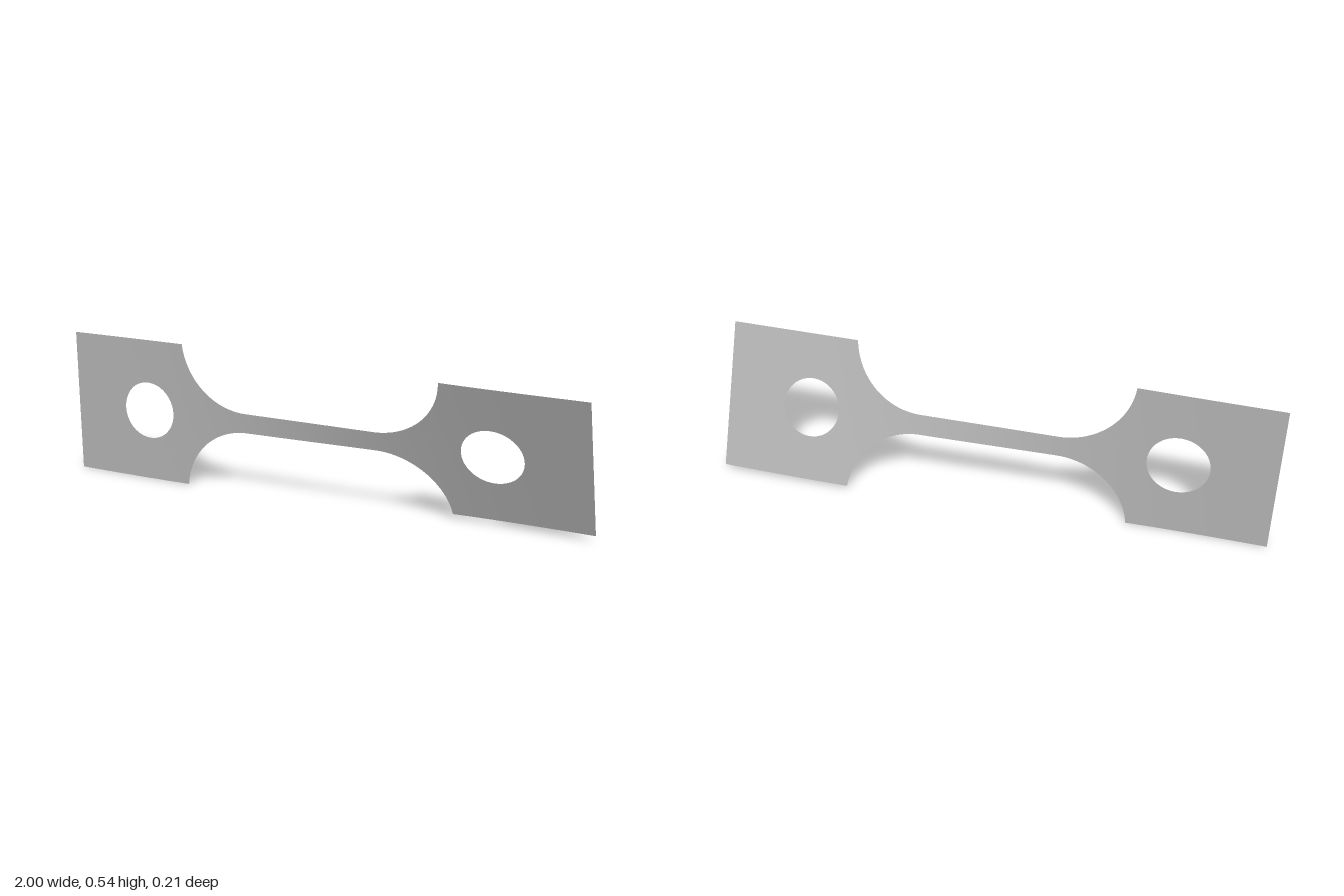
import * as THREE from 'three';
import { ParametricGeometry } from 'three/addons/geometries/ParametricGeometry.js';

const HALF = 0.271;        // half height of the end tabs
const NECK = 0.037;        // half height of the neck
const FILLET = 0.26;       // radius of the shoulder curves
const NECK_END = 0.25;     // where the shoulder curves begin
const HOLE_X = 0.67, HOLE_R = 0.108;
const SWEEP = Math.acos((NECK + FILLET - HALF) / FILLET);
const SHOULDER = NECK_END + FILLET * Math.sin(SWEEP);

// Places a point of the flat sheet on the twisted one
function twist(x, h, target) {
  const deg = 11.45 * (1 + Math.tanh(2.1 * x) / Math.tanh(2.1));
  const a = THREE.MathUtils.degToRad(deg);
  const bow = -0.005 * Math.sin(Math.PI * x);
  target.set(x, HALF + h * Math.cos(a), bow + h * Math.sin(a));
}

// Narrow strip widening along circular shoulders at both ends
function neckSurface(u, v, target) {
  const s = 2 * u - 1, m = Math.abs(s);
  let x = (m / 0.4) * NECK_END, half = NECK;
  if (m > 0.4) {
    const t = ((m - 0.4) / 0.6) * SWEEP;
    x = NECK_END + FILLET * Math.sin(t);
    half = NECK + FILLET * (1 - Math.cos(t));
  }
  twist(Math.sign(s) * x, half * (2 * v - 1), target);
}

// Rectangle with a round hole, spanned from its outline to the rim of the hole
function tabSurface(x0, x1, cx) {
  const corners = [[x1, -HALF], [x1, HALF], [x0, HALF], [x0, -HALF]];
  return (u, v, target) => {
    const side = Math.min(3, Math.floor(u * 4 + 1e-9));
    const f = u * 4 - side;
    const p = corners[side], q = corners[(side + 1) % 4];
    const ox = p[0] + (q[0] - p[0]) * f;
    const oy = p[1] + (q[1] - p[1]) * f;
    const a = Math.atan2(oy, ox - cx);
    const ix = cx + HOLE_R * Math.cos(a), iy = HOLE_R * Math.sin(a);
    twist(ox + (ix - ox) * v, oy + (iy - oy) * v, target);
  };
}

export function createModel() {
  const group = new THREE.Group();
  group.name = 'twistedSpecimen';
  const metal = new THREE.MeshStandardMaterial({ color: 0xb0b0b0, side: THREE.DoubleSide });
  metal.name = 'grey metal';

  const add = (name, surface, slices, stacks) => {
    const mesh = new THREE.Mesh(new ParametricGeometry(surface, slices, stacks), metal);
    mesh.name = name;
    group.add(mesh);
  };
  add('neck', neckSurface, 100, 16);
  add('leftTab', tabSurface(SHOULDER, 1, HOLE_X), 96, 10);
  add('rightTab', tabSurface(-1, -SHOULDER, -HOLE_X), 96, 10);
  return group;
}
